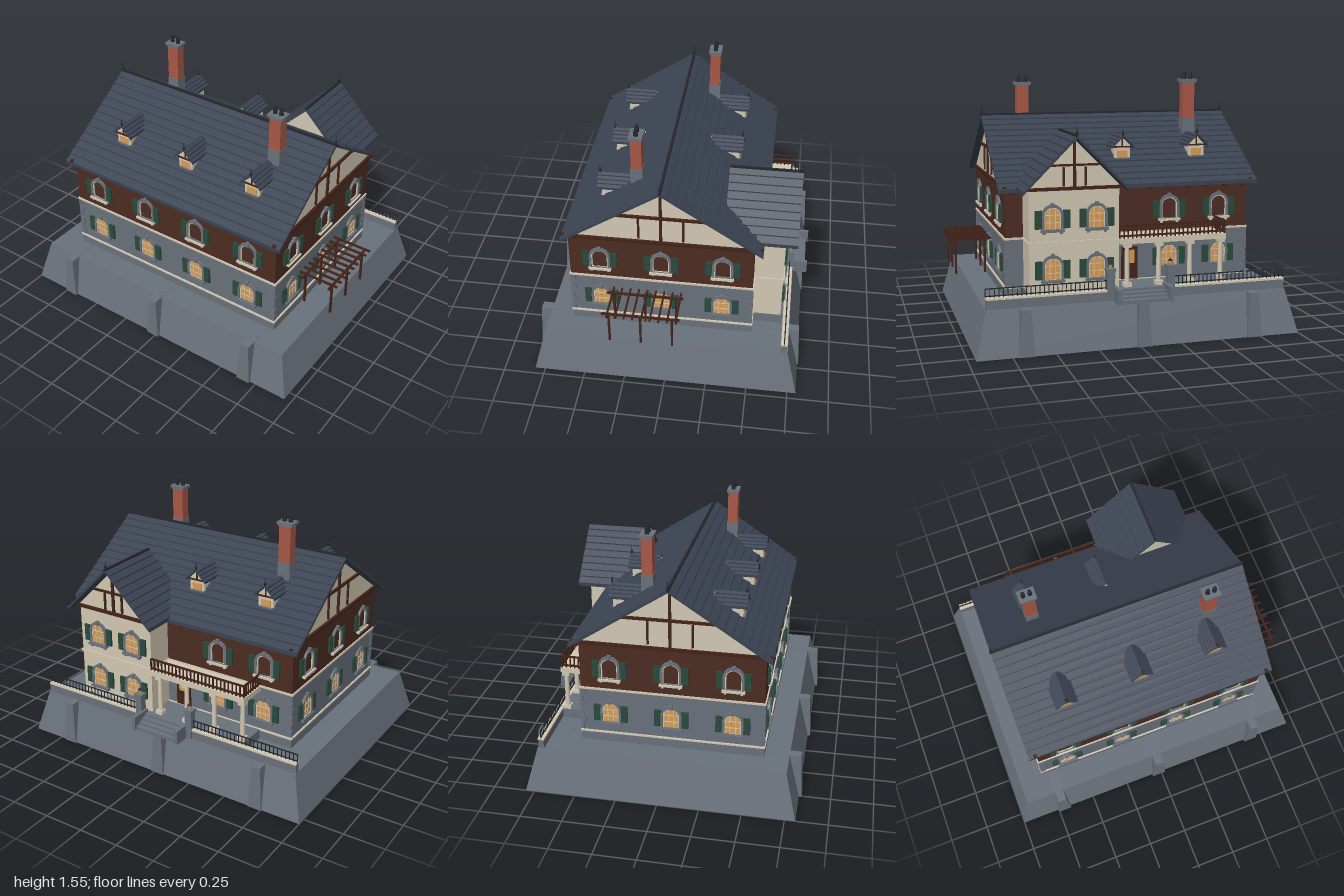
import * as THREE from 'three';

const M = {};
for (const [name, hex] of Object.entries({
  stone: 0x69717b, cladding: 0x4c2c22, cream: 0xd2c8b3, slate: 0x3b4352, timber: 0x432319,
  brick: 0xa85846, glass: 0xd99c54, shutter: 0x28493a, iron: 0x24282e,
})) {
  M[name] = new THREE.MeshStandardMaterial({ color: hex });
  M[name].name = name;
}

function add(parent, name, geo, mat, x = 0, y = 0, z = 0) {
  const m = new THREE.Mesh(geo, mat);
  m.name = name;
  m.position.set(x, y, z);
  parent.add(m);
  return m;
}
function group(parent, name, x = 0, y = 0, z = 0, ry = 0) {
  const g = new THREE.Group();
  g.name = name;
  g.position.set(x, y, z);
  g.rotation.y = ry;
  parent.add(g);
  return g;
}
// Box given by its bounds
function block(parent, name, mat, x0, x1, y0, y1, z0, z1) {
  return add(parent, name, new THREE.BoxGeometry(x1 - x0, y1 - y0, z1 - z0), mat, (x0 + x1) / 2, (y0 + y1) / 2, (z0 + z1) / 2);
}
// Tapered box standing on its base
function taper(w0, d0, w1, d1, h) {
  const g = new THREE.BoxGeometry(1, h, 1).translate(0, h / 2, 0).toNonIndexed();
  const p = g.attributes.position;
  for (let i = 0; i < p.count; i++) {
    const top = p.getY(i) > h / 2;
    p.setX(i, p.getX(i) * (top ? w1 : w0));
    p.setZ(i, p.getZ(i) * (top ? d1 : d0));
  }
  g.computeVertexNormals();
  return g;
}
const extrude = (shape, depth) => new THREE.ExtrudeGeometry(shape, { depth, bevelEnabled: false, curveSegments: 8 });
const poly = pts => new THREE.Shape(pts.map(p => new THREE.Vector2(...p)));

// Gable roof shell with lapped courses, ridge along z, centred
function roofGeo(half, rise, len, n, thick) {
  const side = [];
  for (let i = 0; i < n; i++) {
    const a = i / n, b = (i + 1) / n;
    side.push([half * (1 - a), rise * a + 0.008], [half * (1 - b), rise * b]);
  }
  const left = side.slice(0, -1).reverse().map(([u, v]) => [-u, v]);
  const pts = [[half, -thick], ...side, ...left, [-half, -thick], [0, rise - thick]];
  return extrude(poly(pts), len).translate(0, 0, -len / 2);
}
const prism = (half, rise, len) => extrude(poly([[-half, 0], [half, 0], [0, rise]]), len).translate(0, 0, -len / 2);

// Arched outline: half width, bottom, springing height, crown height
function arch(S, r, y0, spring, crown) {
  const s = new S();
  s.moveTo(-r, y0);
  s.lineTo(r, y0);
  s.lineTo(r, spring);
  s.absellipse(0, spring, r, crown - spring, 0, Math.PI, false);
  s.lineTo(-r, y0);
  return s;
}
function ring(r1, c1, r0, c0, depth) {
  const s = arch(THREE.Shape, r1, 0, 0.085, c1);
  s.holes.push(arch(THREE.Path, r0, 0.004, 0.085, c0));
  return extrude(s, depth);
}
const surroundGeo = ring(0.063, 0.147, 0.049, 0.130, 0.014);
const frameGeo = ring(0.05, 0.131, 0.043, 0.123, 0.008);
const paneGeo = extrude(arch(THREE.Shape, 0.049, 0, 0.085, 0.130), 0.004);

// Window facing +z with its sill at the origin
function windowAt(parent, x, y, z, ry, lit = true) {
  const g = group(parent, 'window', x, y, z, ry);
  add(g, 'surround', surroundGeo, M.stone);
  add(g, 'frame', frameGeo, M.cream);
  block(g, 'keystone', M.stone, -0.01, 0.01, 0.128, 0.155, 0, 0.019);
  block(g, 'sill', lit ? M.stone : M.cream, -0.068, 0.068, -0.012, 0.002, 0, 0.024);
  if (lit) {
    add(g, 'pane', paneGeo, M.glass);
    for (const u of [-0.017, 0.017]) block(g, 'muntin', M.cream, u - 0.002, u + 0.002, 0, 0.122, 0, 0.007);
    for (const v of [0.042, 0.085]) block(g, 'transom', M.cream, -0.046, 0.046, v - 0.002, v + 0.002, 0, 0.007);
  }
  for (const s of [-1, 1]) {
    block(g, 'bracket', lit ? M.stone : M.cream, s * 0.05 - 0.007, s * 0.05 + 0.007, -0.024, -0.012, 0, 0.016);
    block(g, 'shutter', M.shutter, s * 0.082 - 0.02, s * 0.082 + 0.02, 0.008, 0.114, 0, 0.012);
    for (let i = 0; i < 5; i++)
      block(g, 'slat', M.shutter, s * 0.082 - 0.015, s * 0.082 + 0.015, 0.017 + i * 0.02, 0.026 + i * 0.02, 0.01, 0.016);
  }
}
function finial(parent, x, y, z, h) {
  add(parent, 'finial', new THREE.ConeGeometry(0.006, h, 6), M.iron, x, y + h / 2, z);
  add(parent, 'finialBall', new THREE.SphereGeometry(0.009, 8, 6), M.iron, x, y + h * 0.35, z);
}
// Timber frame on a gable facing +z, origin at the middle of its foot
function gableTimber(parent, x, y, z, ry, half, rise) {
  const g = group(parent, 'gableTimber', x, y, z, ry);
  block(g, 'tieBeam', M.timber, -half, half, 0, 0.018, -0.005, 0.016);
  block(g, 'kingPost', M.timber, -0.008, 0.008, 0, rise * 0.95, -0.005, 0.012);
  block(g, 'collar', M.timber, -half * 0.5, half * 0.5, rise * 0.47, rise * 0.51, -0.005, 0.014);
  for (const s of [-1, 1])
    block(g, 'stud', M.timber, s * half * 0.22 - 0.006, s * half * 0.22 + 0.006, rise * 0.08, rise * 0.45, -0.005, 0.01);
}
function dormer(parent, x, ry) {
  const g = group(parent, 'dormer', x, 0, 0.04, ry);
  block(g, 'dormerWall', M.cream, -0.05, 0.05, 1.02, 1.12, 0.2, 0.385);
  add(g, 'dormerGable', prism(0.058, 0.058, 0.18), M.cream, 0, 1.115, 0.297);
  add(g, 'dormerRoof', roofGeo(0.07, 0.07, 0.2, 4, 0.008), M.slate, 0, 1.115, 0.31);
  block(g, 'dormerPane', M.glass, -0.032, 0.032, 1.05, 1.092, 0.384, 0.389);
  block(g, 'dormerSill', M.stone, -0.045, 0.045, 1.038, 1.048, 0.38, 0.396);
  block(g, 'dormerBeam', M.timber, -0.055, 0.055, 1.11, 1.119, 0.38, 0.394);
  block(g, 'dormerPost', M.timber, -0.004, 0.004, 1.115, 1.175, 0.38, 0.392);
  finial(g, 0, 1.18, 0.4, 0.055);
}
function chimney(parent, x, z, top) {
  const g = group(parent, 'chimney', x, 0, z);
  block(g, 'chimneyFoot', M.stone, -0.04, 0.04, 1.1, 1.265, -0.036, 0.036);
  block(g, 'chimneyShaft', M.brick, -0.038, 0.038, 1.265, top - 0.06, -0.032, 0.032);
  block(g, 'chimneyNeck', M.stone, -0.043, 0.043, top - 0.065, top - 0.052, -0.035, 0.035);
  block(g, 'chimneyCap', M.stone, -0.052, 0.052, top - 0.055, top - 0.04, -0.04, 0.04);
  for (const s of [-1, 1]) add(g, 'chimneyPot', new THREE.CylinderGeometry(0.011, 0.014, 0.042, 10), M.iron, s * 0.021, top - 0.02, 0);
}
// Railing along x between x0 and x1
function railing(parent, mat, x0, x1, y, h, z, step, r) {
  const g = group(parent, 'railing');
  for (const v of [y + h * 0.2, y + h]) block(g, 'rail', mat, x0, x1, v - r, v + r, z - r, z + r);
  const n = Math.round((x1 - x0) / step);
  for (let i = 0; i <= n; i++) {
    const x = x0 + (x1 - x0) * i / n;
    block(g, 'baluster', mat, x - r * 0.7, x + r * 0.7, y, y + h, z - r * 0.7, z + r * 0.7);
  }
  return g;
}

export function createModel() {
  const root = new THREE.Group();
  root.name = 'house';
  const CX = -0.022, X0 = -0.772, X1 = 0.732, Z0 = -0.5, Z1 = 0.593, Q = Math.PI / 2;

  // Battered terrace and buttresses
  add(root, 'terrace', taper(1.956, 1.615, 1.82, 1.48, 0.266), M.stone, CX, 0, 0.005);
  for (const x of [-0.71, -0.02, 0.67]) {
    add(root, 'buttress', taper(0.09, 0.25, 0.055, 0.22, 0.268), M.stone, x, 0, 0.703);
    add(root, 'buttress', taper(0.09, 0.25, 0.055, 0.22, 0.268), M.stone, x, 0, -0.685);
  }

  // Main walls and string courses
  block(root, 'plinth', M.stone, X0 - 0.006, X1 + 0.006, 0.26, 0.322, Z0 - 0.006, Z1 + 0.006);
  block(root, 'plinthCap', M.cream, X0 - 0.01, X1 + 0.01, 0.322, 0.332, Z0 - 0.01, Z1 + 0.01);
  block(root, 'groundFloor', M.stone, X0, X1, 0.33, 0.612, Z0, Z1);
  block(root, 'stringCourse', M.cream, X0 - 0.008, X1 + 0.008, 0.61, 0.622, Z0 - 0.008, Z1 + 0.008);
  block(root, 'upperFloor', M.cladding, X0, X1, 0.62, 0.91, Z0, Z1);
  for (const x of [X0, X1]) for (const z of [Z0, Z1]) for (let i = 0; i < 6; i++) {
    const a = i % 2 ? 0.02 : 0.034, b = i % 2 ? 0.034 : 0.02, sx = Math.sign(x), sz = Math.sign(z);
    add(root, 'quoin', new THREE.BoxGeometry(a, 0.04, b), M.stone, x - sx * (a / 2 - 0.006), 0.357 + i * 0.046, z - sz * (b / 2 - 0.006));
  }

  // Windows on front, sides and back
  for (const [y, lit] of [[0.398, true], [0.69, false]]) {
    for (const x of [-0.588, -0.21, 0.168, 0.545]) windowAt(root, x, y, Z1, 0, lit);
    for (const z of [0.41, 0.045, -0.32]) {
      windowAt(root, X1, y, z, Q, lit);
      windowAt(root, X0, y, z, -Q, lit);
    }
    for (const x of [-0.588, -0.27]) windowAt(root, x, y, Z0, Math.PI, lit);
    for (const x of [0.232, 0.492]) windowAt(root, x, y, -0.675, Math.PI, true);
  }
  block(root, 'door', M.timber, -0.07, 0.03, 0.33, 0.53, Z0 - 0.009, Z0);
  block(root, 'doorPane', M.glass, -0.05, 0.01, 0.43, 0.51, Z0 - 0.013, Z0 - 0.008);

  // Main roof, gables, eave brackets
  add(root, 'mainGable', prism(0.558, 0.368, X1 - X0), M.cream, CX + 0.002, 0.907, 0.04).rotation.y = Q;
  add(root, 'mainRoof', roofGeo(0.592, 0.39, 1.596, 13, 0.016), M.slate, CX, 0.907, 0.04).rotation.y = Q;
  block(root, 'ridgeCap', M.iron, -0.825, 0.78, 1.288, 1.304, 0.032, 0.048);
  for (const [x, ry] of [[X1, Q], [X0, -Q]]) gableTimber(root, x, 0.907, 0.042, ry, 0.59, 0.385);
  for (const x of [-0.815, 0.77]) finial(root, x, 1.295, 0.04, 0.068);
  for (let i = 0; i < 13; i++) {
    const x = -0.74 + i * 0.12;
    block(root, 'eaveBracket', M.timber, x - 0.007, x + 0.007, 0.875, 0.9, Z1 - 0.01, Z1 + 0.025);
    if (x < 0.08 || x > 0.64) block(root, 'eaveBracket', M.timber, x - 0.007, x + 0.007, 0.875, 0.9, Z0 - 0.035, Z0 + 0.01);
  }
  for (const x of [-0.5, -0.022, 0.455]) dormer(root, x, 0);
  for (const x of [-0.5, -0.022]) dormer(root, x, Math.PI);
  chimney(root, -0.515, -0.137, 1.552);
  chimney(root, 0.483, 0.212, 1.53);

  // Rear wing
  const W = 0.362;
  block(root, 'wingPlinth', M.stone, W - 0.272, W + 0.272, 0.26, 0.325, -0.685, Z0);
  block(root, 'wingWall', M.cream, W - 0.265, W + 0.265, 0.325, 0.925, -0.675, Z0);
  block(root, 'wingStringCourse', M.cream, W - 0.273, W + 0.273, 0.61, 0.622, -0.683, Z0);
  add(root, 'wingGable', prism(0.285, 0.285, 0.34), M.cream, W, 0.917, -0.505);
  add(root, 'wingRoof', roofGeo(0.311, 0.31, 0.43, 9, 0.016), M.slate, W, 0.917, -0.53);
  block(root, 'wingRidgeCap', M.iron, W - 0.007, W + 0.007, 1.22, 1.233, -0.748, -0.315);
  gableTimber(root, W, 0.915, -0.675, Math.PI, 0.29, 0.29);
  finial(root, W, 1.225, -0.735, 0.062);

  // Porch, columns and balcony
  block(root, 'porchFloor', M.stone, -0.565, 0.1, 0.26, 0.328, -0.69, Z0);
  block(root, 'balconyFloor', M.cream, -0.565, 0.097, 0.585, 0.617, -0.69, Z0);
  for (const x of [-0.54, -0.345, -0.15, 0.045]) {
    const c = group(root, 'porchColumn', x, 0, -0.662);
    add(c, 'shaft', new THREE.CylinderGeometry(0.013, 0.016, 0.25, 12), M.cream, 0, 0.455, 0);
    block(c, 'base', M.cream, -0.023, 0.023, 0.328, 0.352, -0.023, 0.023);
    block(c, 'capital', M.cream, -0.022, 0.022, 0.562, 0.585, -0.022, 0.022);
  }
  railing(root, M.timber, -0.558, 0.095, 0.617, 0.075, -0.68, 0.026, 0.005);
  const sideRail = railing(root, M.timber, -0.09, 0.09, 0.617, 0.075, 0, 0.026, 0.005);
  sideRail.position.set(-0.556, 0, -0.59);
  sideRail.rotation.y = Q;

  // Parapet with iron railing, lamp posts and steps
  for (const [a, b] of [[-0.93, -0.205], [0.16, 0.886]]) {
    block(root, 'parapet', M.stone, a, b, 0.26, 0.32, -0.727, -0.695);
    block(root, 'parapetCap', M.cream, a, b, 0.32, 0.331, -0.731, -0.691);
    railing(root, M.iron, a, b, 0.33, 0.053, -0.711, 0.026, 0.003);
  }
  for (const x of [-0.205, 0.16]) {
    const g = group(root, 'lampPost', x, 0, -0.713);
    block(g, 'pillar', M.stone, -0.022, 0.022, 0.26, 0.44, -0.022, 0.022);
    block(g, 'pillarCap', M.stone, -0.028, 0.028, 0.44, 0.455, -0.028, 0.028);
    add(g, 'lantern', new THREE.CylinderGeometry(0.012, 0.009, 0.024, 6), M.glass, 0, 0.467, 0);
    add(g, 'lanternRoof', new THREE.ConeGeometry(0.016, 0.018, 6), M.iron, 0, 0.488, 0);
  }
  for (let i = 0; i < 4; i++) block(root, 'step', M.stone, -0.17, 0.125, 0.262, 0.328 - i * 0.015, -0.722 - i * 0.03, -0.68);
  for (const x of [-0.178, 0.133]) block(root, 'stepCheek', M.stone, x - 0.011, x + 0.011, 0.262, 0.348, -0.824, -0.69);

  // Pergola
  const p = group(root, 'pergola');
  for (const x of [0.782, 0.962]) {
    for (const z of [0.325, 0.138, -0.05]) block(p, 'pergolaPost', M.timber, x - 0.006, x + 0.006, 0.322, 0.53, z - 0.006, z + 0.006);
    block(p, 'pergolaBeam', M.timber, x - 0.006, x + 0.006, 0.525, 0.537, -0.095, 0.368);
  }
  for (let i = 0; i < 9; i++) {
    const z = -0.077 + i * 0.051;
    block(p, 'pergolaRafter', M.timber, 0.745, 1, 0.535, 0.547, z - 0.005, z + 0.005);
  }
  return root;
}
